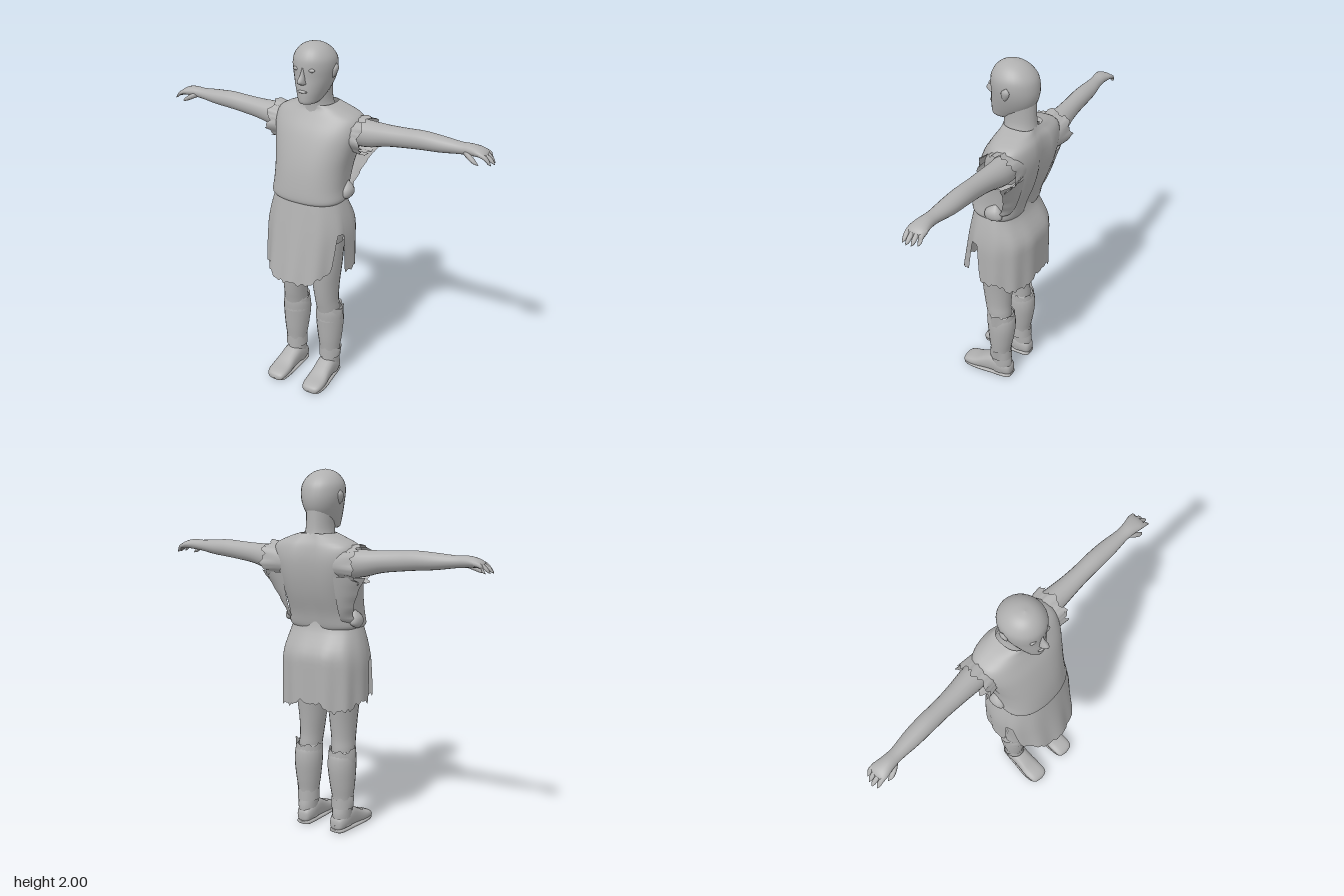
import * as THREE from 'three';

const grey = new THREE.MeshStandardMaterial({ color: 0xb0b0b0, side: THREE.DoubleSide });
grey.name = 'plain grey';

const spow = (a, e) => Math.sign(a) * Math.abs(a) ** e;
const mix = THREE.MathUtils.lerp;
const step = THREE.MathUtils.smoothstep;
// irregular torn-edge offset, roughly -1..1
const jag = (a) => 0.5 * Math.sin(7 * a + 1) + 0.3 * Math.sin(17 * a) + 0.3 * Math.sin(29 * a + 2);

// Grid surface from f(u, v) -> [x, y, z], optionally closed around u
function grid(f, nu, nv, closed = true) {
  const pos = [], idx = [], w = closed ? nu : nu + 1;
  for (let j = 0; j <= nv; j++) for (let i = 0; i < w; i++) pos.push(...f(i / nu, j / nv));
  for (let j = 0; j < nv; j++) for (let i = 0; i < nu; i++) {
    const a = j * w + i, b = j * w + (i + 1) % w;
    idx.push(a, b, b + w, a, b + w, a + w);
  }
  const g = new THREE.BufferGeometry();
  g.setAttribute('position', new THREE.Float32BufferAttribute(pos, 3));
  g.setIndex(idx);
  g.computeVertexNormals();
  return g;
}

// Smooth loft along an axis through sections [t, centreA, radiusA, centreB, radiusB]
function loft(axis, rows, { n = 20, sub = 4, p = 2, pBack = p, groove = 0 } = {}) {
  const cr = (a, b, c, d, t) =>
    0.5 * (2 * b + (c - a) * t + (2 * a - 5 * b + 4 * c - d) * t * t + (3 * b - a - 3 * c + d) * t ** 3);
  const last = rows.length - 1;
  return grid((u, v) => {
    const s = v * last, i = Math.min(Math.floor(s), last - 1), f = s - i;
    const [t, ca, ra, cb, rb] = rows[i].map((b, k) =>
      cr(rows[Math.max(i - 1, 0)][k], b, rows[i + 1][k], rows[Math.min(i + 2, last)][k], f));
    const th = u * Math.PI * 2, c = Math.cos(th), e = 2 / (c < 0 ? pBack : p);
    const A = ca + Math.max(ra, 0.001) * spow(Math.sin(th), e);
    const dent = c < 0 ? 1 - groove * Math.exp(-((A / 0.04) ** 2)) : 1;
    const B = cb + Math.max(rb, 0.001) * spow(c, e) * dent;
    return axis === 'y' ? [A, t, B] : axis === 'x' ? [t, B, A] : [B, A, t];
  }, n, last * sub);
}

function mirror(geo) {
  const g = geo.clone().scale(-1, 1, 1), a = g.index.array;
  for (let i = 0; i < a.length; i += 3) [a[i], a[i + 1]] = [a[i + 1], a[i]];
  g.computeVertexNormals();
  return g;
}

// section from front and back depth: [y, x, rx, zFront, zBack]
const depth = (rows) => rows.map(([y, x, rx, f, b]) => [y, x, rx, (f + b) / 2, (f - b) / 2]);

export function createModel() {
  const model = new THREE.Group();
  const add = (name, geo) => {
    const m = new THREE.Mesh(geo, grey);
    m.name = name;
    model.add(m);
  };
  const pair = (name, geo) => {
    add('left' + name, geo);
    add('right' + name, mirror(geo));
  };

  // Head, neck and face
  add('head', loft('y', depth([
    [1.69, 0, 0.001, 0.04, 0.03], [1.695, 0, 0.045, 0.08, -0.04], [1.73, 0, 0.068, 0.087, -0.11],
    [1.78, 0, 0.09, 0.086, -0.155], [1.83, 0, 0.106, 0.082, -0.173], [1.88, 0, 0.114, 0.083, -0.173],
    [1.925, 0, 0.109, 0.078, -0.16], [1.965, 0, 0.083, 0.055, -0.125], [1.99, 0, 0.046, 0.02, -0.08],
    [2.0, 0, 0.001, -0.025, -0.026]]), { n: 28 }));
  add('neck', loft('y', depth([
    [1.56, 0, 0.11, 0.02, -0.2], [1.64, 0, 0.085, 0.012, -0.175], [1.7, 0, 0.07, 0.015, -0.165],
    [1.8, 0, 0.07, 0.02, -0.16]])));
  add('nose', loft('y', depth([
    [1.795, 0, 0.001, 0.08, 0.07], [1.803, 0, 0.02, 0.105, 0.06], [1.82, 0, 0.018, 0.124, 0.06],
    [1.85, 0, 0.011, 0.1, 0.06], [1.885, 0, 0.006, 0.085, 0.06]]), { n: 12 }));
  add('mouth', new THREE.SphereGeometry(1, 14, 8).scale(0.028, 0.008, 0.012).translate(0, 1.762, 0.084));
  pair('Ear', loft('y', [
    [1.82, 0.102, 0.001, -0.045, 0.001], [1.835, 0.108, 0.009, -0.048, 0.014],
    [1.87, 0.115, 0.012, -0.055, 0.024], [1.895, 0.115, 0.001, -0.06, 0.001]], { n: 10 }));
  pair('Eye', new THREE.SphereGeometry(1, 12, 8).scale(0.02, 0.01, 0.01).translate(0.045, 1.875, 0.068));

  // Tunic body, boxy back with a groove along the spine
  add('tunic', loft('y', depth([
    [1.165, 0, 0.2, 0.15, -0.13], [1.185, 0, 0.212, 0.163, -0.14], [1.25, 0, 0.205, 0.158, -0.158],
    [1.35, 0, 0.21, 0.14, -0.195], [1.45, 0, 0.23, 0.11, -0.22], [1.54, 0, 0.25, 0.072, -0.228],
    [1.61, 0, 0.24, 0.028, -0.215], [1.65, 0, 0.16, 0.005, -0.19], [1.672, 0, 0.09, 0.005, -0.178]]),
  { n: 48, p: 2.3, pBack: 3, groove: 0.14 }));

  // Torn sleeve caps
  pair('SleeveCap', grid((u, v) => {
    const a = u * Math.PI * 2, r = 1 + 0.1 * v * jag(a + 1);
    return [mix(0.16, 0.285 + 0.022 * jag(a), v), 1.52 + Math.cos(a) * mix(0.085, 0.1, v) * r,
      -0.11 + Math.sin(a) * mix(0.1, 0.11, v) * r];
  }, 48, 5));

  // Loose cloth hanging below each arm, behind the armhole
  pair('ArmholeCloth', grid((u, v) => {
    const y = mix(1.2, 1.46, v), edge = 0.215 + 0.115 * v ** 1.8 + 0.012 * jag(v * 3) * (1 - v);
    return [mix(0.16, edge, u), y, mix(-0.09, -0.2, Math.sqrt(v)) + 0.045 * u * u];
  }, 6, 16, false));
  pair('TornTuft', loft('y', [
    [1.17, 0.21, 0.001, -0.03, 0.001], [1.195, 0.21, 0.025, -0.04, 0.05],
    [1.235, 0.205, 0.03, -0.04, 0.045], [1.275, 0.2, 0.001, -0.05, 0.001]], { n: 12 }));

  // Ragged skirt: front apron, open side slits, back panel
  add('skirt', grid((u, v) => {
    const a = (u * 2 - 1) * Math.PI, k = Math.abs(a);
    const front = 0.715 + 0.07 * k * k, back = 0.765 - 0.04 * Math.exp(-(((k - 2.4) / 0.4) ** 2));
    const hem = k < 1.22
      ? mix(front + 0.018 * jag(a * 1.3), 1.0, step(k, 0.98, 1.14))
      : mix(1.0, back + 0.02 * jag(a * 1.5), step(k, 1.32, 1.46));
    const y = mix(hem, 1.2, v), t = (1.2 - y) / 0.5;
    const fold = 1 + 0.025 * t * Math.sin(11 * a + 1);
    const c = Math.cos(a), rx = 0.195 + 0.052 * Math.sin(Math.min(1, t * 2) * Math.PI / 2);
    const rz = c > 0 ? 0.15 + 0.095 * t : 0.125 + 0.085 * step(t, 0, 0.4);
    const e = c > 0 ? 0.95 : 0.8;
    return [rx * spow(Math.sin(a), e) * fold, y, rz * spow(c, e) * fold];
  }, 160, 14));
  add('hips', loft('y', depth([
    [0.75, 0, 0.02, 0.03, -0.05], [0.8, 0, 0.14, 0.09, -0.11], [0.95, 0, 0.19, 0.12, -0.15],
    [1.15, 0, 0.18, 0.13, -0.12], [1.2, 0, 0.16, 0.11, -0.1]]), { n: 24 }));

  // Arms and hands
  pair('Arm', loft('x', [
    [0.15, -0.12, 0.07, 1.53, 0.075], [0.28, -0.122, 0.067, 1.528, 0.072], [0.4, -0.115, 0.056, 1.543, 0.057],
    [0.5, -0.112, 0.05, 1.552, 0.052], [0.6, -0.11, 0.05, 1.56, 0.049], [0.7, -0.107, 0.047, 1.562, 0.042],
    [0.8, -0.102, 0.037, 1.566, 0.031], [0.86, -0.1, 0.04, 1.57, 0.029], [0.91, -0.1, 0.049, 1.567, 0.023],
    [0.94, -0.1, 0.044, 1.557, 0.016], [0.95, -0.1, 0.001, 1.552, 0.001]]));
  for (let i = 0; i < 4; i++) {
    const z = -0.138 + i * 0.025, L = [0.97, 0.984, 0.99, 0.98][i];
    pair('Finger' + (i + 1), loft('x', [
      [0.91, z, 0.013, 1.567, 0.013], [0.945, z, 0.013, 1.555, 0.012], [L - 0.015, z, 0.011, 1.536, 0.01],
      [L, z + 0.002, 0.001, 1.522, 0.001]], { n: 8 }));
  }
  pair('Thumb', loft('x', [
    [0.83, -0.08, 0.012, 1.56, 0.015], [0.86, -0.064, 0.017, 1.548, 0.016],
    [0.895, -0.052, 0.013, 1.53, 0.012], [0.92, -0.052, 0.001, 1.515, 0.001]], { n: 10 }));

  // Legs, wrapped shins with torn cuffs, and feet
  pair('Leg', loft('y', depth([
    [0.3, 0.11, 0.05, 0.03, -0.08], [0.46, 0.11, 0.063, 0.058, -0.085], [0.54, 0.106, 0.065, 0.075, -0.082],
    [0.64, 0.103, 0.073, 0.09, -0.09], [0.76, 0.105, 0.082, 0.1, -0.105], [0.92, 0.105, 0.09, 0.1, -0.12]])));
  pair('ShinWrap', loft('y', depth([
    [0.03, 0.115, 0.052, 0.04, -0.09], [0.1, 0.116, 0.053, 0.035, -0.098], [0.18, 0.116, 0.058, 0.032, -0.086],
    [0.27, 0.115, 0.07, 0.043, -0.1], [0.37, 0.113, 0.079, 0.052, -0.113], [0.44, 0.112, 0.077, 0.058, -0.11],
    [0.475, 0.111, 0.066, 0.058, -0.095]])));
  const cuff = (y0, y1, r0, r1, cz, cx, wave) => grid((u, v) => {
    const a = u * Math.PI * 2, r = mix(r0, r1, v);
    const tip = Math.exp(-(((a - 1.6) / 0.3) ** 2)) * v;
    return [cx + Math.sin(a) * (r + 0.016 * tip), mix(y0, y1 + wave * jag(a) + 0.02 * tip, v), cz + Math.cos(a) * r * 1.06];
  }, 36, 4);
  pair('ShinCuff', cuff(0.4, 0.478, 0.078, 0.074, -0.027, 0.112, 0.012));
  pair('AnkleCuff', cuff(0.14, 0.2, 0.062, 0.061, -0.028, 0.116, 0.01));
  pair('Foot', loft('z', [
    [-0.103, 0.045, 0.001, 0.112, 0.001], [-0.095, 0.05, 0.034, 0.112, 0.036], [-0.05, 0.065, 0.054, 0.114, 0.053],
    [0.01, 0.072, 0.062, 0.116, 0.055], [0.07, 0.057, 0.05, 0.119, 0.056], [0.13, 0.039, 0.034, 0.122, 0.061],
    [0.185, 0.03, 0.025, 0.122, 0.058], [0.212, 0.023, 0.017, 0.12, 0.042], [0.22, 0.02, 0.001, 0.118, 0.001]],
  { p: 2.6 }));
  pair('Sole', loft('z', [
    [-0.1, 0.012, 0.001, 0.112, 0.001], [-0.09, 0.012, 0.012, 0.112, 0.042], [0.02, 0.012, 0.012, 0.116, 0.056],
    [0.13, 0.012, 0.012, 0.122, 0.064], [0.2, 0.012, 0.012, 0.121, 0.052], [0.22, 0.012, 0.001, 0.118, 0.001]],
  { p: 3 }));

  return model;
}
